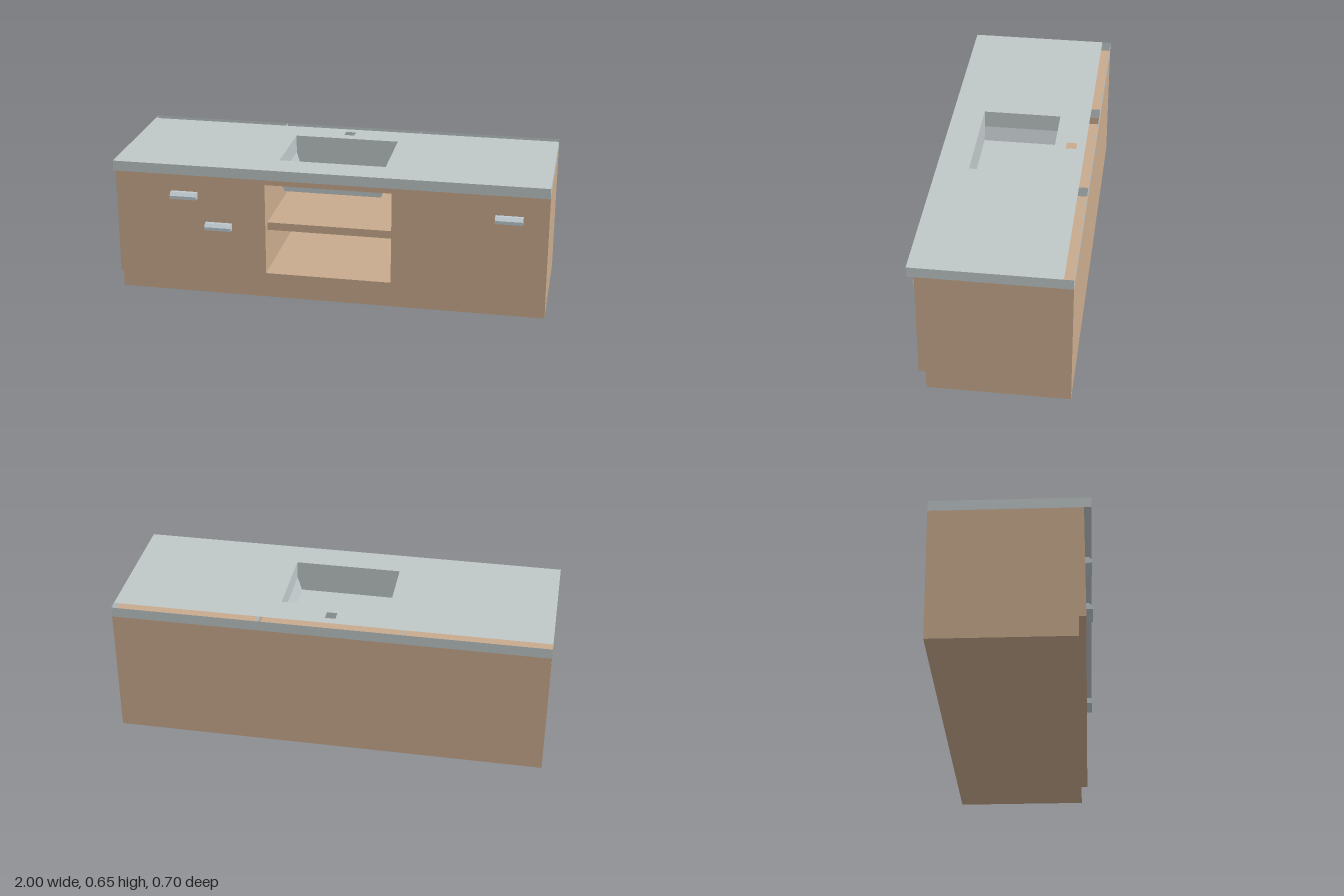
import * as THREE from 'three';

const material = (name, color, side = THREE.FrontSide) => {
  const m = new THREE.MeshStandardMaterial({ color, side });
  m.name = name;
  return m;
};

export function createModel() {
  const wood = material('wood', 0xc9ab8e);
  const woodSheet = material('wood', 0xc9ab8e, THREE.DoubleSide);
  const stone = material('worktop grey', 0xbfc7c8, THREE.DoubleSide);
  const steel = material('handle steel', 0xbfcad0);
  const model = new THREE.Group();
  model.name = 'sinkCabinet';

  const add = (parent, name, geometry, mat) => {
    const mesh = new THREE.Mesh(geometry, mat);
    mesh.name = name;
    parent.add(mesh);
    return mesh;
  };
  // Box given by its limits on each axis
  const box = (parent, name, mat, x0, x1, y0, y1, z0, z1) => {
    const mesh = add(parent, name, new THREE.BoxGeometry(x1 - x0, y1 - y0, z1 - z0), mat);
    mesh.position.set((x0 + x1) / 2, (y0 + y1) / 2, (z0 + z1) / 2);
    return mesh;
  };
  const rect = (Kind, x0, x1, z0, z1) => new Kind([[x0, z0], [x1, z0], [x1, z1], [x0, z1]]
    .map(p => new THREE.Vector2(...p)));
  // Horizontal sheet with rectangular openings
  const sheet = (parent, name, mat, y, limits, holes = []) => {
    const shape = rect(THREE.Shape, ...limits);
    shape.holes = holes.map(h => rect(THREE.Path, ...h));
    const mesh = add(parent, name, new THREE.ShapeGeometry(shape).rotateX(Math.PI / 2), mat);
    mesh.position.y = y;
    return mesh;
  };

  const back = -0.347, front = 0.318, lip = 0.35, top = 0.653, under = 0.605;
  const kick = 0.09, niche = 0.293, third = 0.333, nicheTop = 0.57, nicheFloor = 0.133;
  const sinkHole = [-0.248, 0.246, -0.163, 0.202];

  // Cabinet body around an open niche
  const cabinet = new THREE.Group();
  cabinet.name = 'cabinet';
  model.add(cabinet);
  box(cabinet, 'plinth', wood, -1, 1, 0, kick, back, 0.287);
  for (const s of [-1, 1]) {
    const span = (a, b) => (s > 0 ? [a, b] : [-b, -a]);
    box(cabinet, 'sideCabinet', wood, ...span(third, 1), kick, under, back, front);
    box(cabinet, 'nicheWall', wood, ...span(niche, third), kick, nicheTop, back, front);
  }
  box(cabinet, 'nicheFloor', wood, -niche, niche, kick, nicheFloor, back, front);
  box(cabinet, 'nicheBack', wood, -niche, niche, nicheFloor, nicheTop, back, -0.305);
  box(cabinet, 'shelf', wood, -niche, niche, 0.333, 0.37, -0.305, 0.273);
  box(cabinet, 'frontRail', wood, -third, third, nicheTop, under, front - 0.008, front);
  box(cabinet, 'backRail', wood, -third, third, nicheTop, under, back, back + 0.004);
  sheet(cabinet, 'nicheCeiling', woodSheet, nicheTop, [-third, third, back, front], [sinkHole]);

  // Hollow worktop, open along its back edge
  const worktop = new THREE.Group();
  worktop.name = 'worktop';
  model.add(worktop);
  sheet(worktop, 'worktopSurface', stone, top, [-1, 1, -0.305, lip],
    [sinkHole, [-0.023, 0.025, -0.264, -0.216]]);
  sheet(worktop, 'overhangUnderside', stone, under, [-1, 1, front, lip]);
  for (const z of [back, lip]) {
    add(worktop, 'worktopEdge', new THREE.PlaneGeometry(2, top - under), stone)
      .position.set(0, (top + under) / 2, z);
  }
  for (const x of [-1, -third, third, 1]) {
    const wall = add(worktop, Math.abs(x) === 1 ? 'worktopEnd' : 'worktopDivider',
      new THREE.PlaneGeometry(lip - back, top - under).rotateY(Math.PI / 2), stone);
    wall.position.set(x, (top + under) / 2, (lip + back) / 2);
  }

  // Basin: upright walls, then ends sloping in to a flat bottom
  const [x0, x1, z0, z1] = sinkHole;
  const levels = [[top, x0, x1], [nicheTop, x0, x1], [0.503, -0.228, 0.226]];
  const points = [];
  const quad = (a, b, c, d) => points.push(...a, ...b, ...c, ...a, ...c, ...d);
  const ring = ([y, l, r]) => [[l, y, z0], [r, y, z0], [r, y, z1], [l, y, z1]];
  for (let i = 0; i < 2; i++) {
    const a = ring(levels[i]), b = ring(levels[i + 1]);
    for (let k = 0; k < 4; k++) {
      const n = (k + 1) % 4;
      quad(a[k], b[k], b[n], a[n]);
    }
  }
  const floor = ring(levels[2]);
  quad(floor[0], floor[3], floor[2], floor[1]);
  const basin = new THREE.BufferGeometry();
  basin.setAttribute('position', new THREE.Float32BufferAttribute(points, 3));
  basin.computeVertexNormals();
  add(model, 'sinkBasin', basin, stone);

  // Chamfered bar handles, profile drawn as (z, y)
  const profile = new THREE.Shape([[0, 0], [0.032, 0], [0.032, 0.015], [0.017, 0.03], [0, 0.03]]
    .map(p => new THREE.Vector2(...p)));
  for (const [x, y] of [[-0.673, 0.484], [-0.513, 0.34], [0.823, 0.471]]) {
    const geometry = new THREE.ExtrudeGeometry(profile, { depth: 0.125, bevelEnabled: false });
    geometry.translate(0, 0, -0.0625).rotateY(-Math.PI / 2);
    add(model, 'handle', geometry, steel).position.set(x, y, front);
  }
  return model;
}
